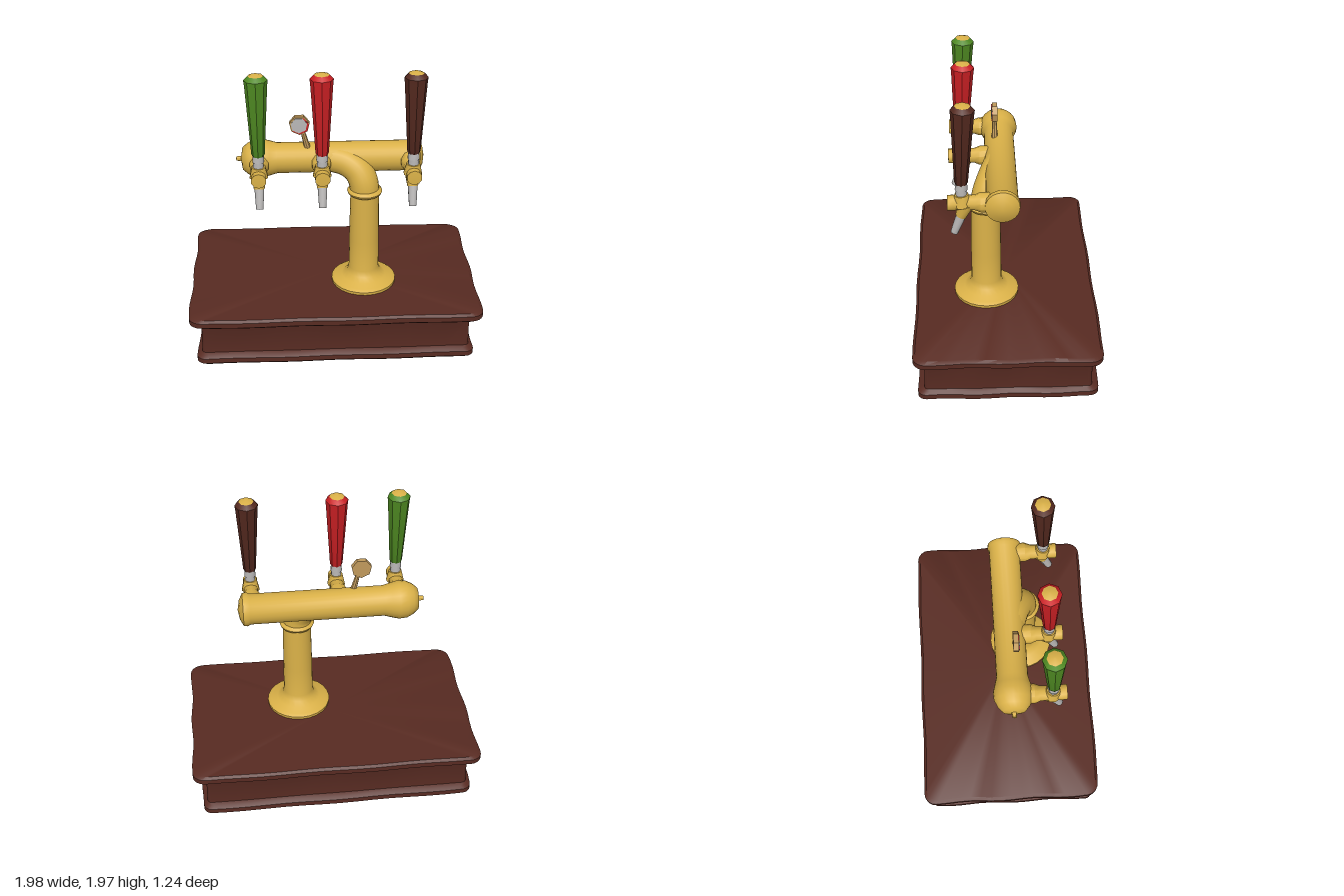
import * as THREE from 'three';
import { toCreasedNormals } from 'three/addons/utils/BufferGeometryUtils.js';

const mat = (name, color) => Object.assign(new THREE.MeshStandardMaterial({ color }), { name });
const V = (x, y, z) => new THREE.Vector3(x, y, z);

export function createModel() {
  const wood = mat('wood', 0x582b22);
  const brass = mat('brass', 0xdab148);
  const steel = mat('steel', 0xb9b7b6);
  const green = mat('green', 0x4f8a22);
  const red = mat('red', 0xcb2024);
  const brown = mat('brown', 0x54291f);
  const tan = mat('tan', 0xc09a5c);
  const model = new THREE.Group();
  model.name = 'beerTap';

  const add = (parent, name, geometry, material, crease = 0.7) => {
    const mesh = new THREE.Mesh(toCreasedNormals(geometry, crease), material);
    mesh.name = name;
    parent.add(mesh);
    return mesh;
  };
  const lathe = (pts, sides = 24) =>
    new THREE.LatheGeometry(pts.map(([r, y]) => new THREE.Vector2(r, y)), sides);

  // Solid rod between two points; r0 at the start, r1 at the end
  const rod = (a, b, r0, r1, sides = 10) => {
    const dir = b.clone().sub(a);
    const g = new THREE.CylinderGeometry(r1, r0, dir.length(), sides);
    g.applyQuaternion(new THREE.Quaternion().setFromUnitVectors(V(0, 1, 0), dir.normalize()));
    const c = a.clone().add(b).multiplyScalar(0.5);
    return g.translate(c.x, c.y, c.z);
  };

  // Worn wooden plinth: rounded rectangles lofted upward, [y, half width, half depth, corner]
  const levels = [
    [0, 0.925, 0.585, 0.06], [0.015, 0.942, 0.6, 0.06], [0.05, 0.942, 0.6, 0.06], [0.066, 0.925, 0.58, 0.06],
    [0.075, 0.907, 0.555, 0.03], [0.27, 0.903, 0.55, 0.03], [0.298, 0.915, 0.565, 0.04],
    [0.3, 0.965, 0.605, 0.08], [0.315, 0.988, 0.622, 0.08], [0.35, 0.988, 0.622, 0.08], [0.365, 0.965, 0.605, 0.08],
  ];
  const perSide = 14, arc = 5;
  const outline = ([y, w, d, r], level) => {
    const pts = [];
    [[1, 1], [-1, 1], [-1, -1], [1, -1]].forEach(([sx, sz], k) => {
      const cx = sx * (w - r), cz = sz * (d - r);
      for (let i = 0; i <= arc; i++) {
        const t = (k + i / arc) * Math.PI / 2;
        pts.push(V(cx + r * Math.cos(t), y, cz + r * Math.sin(t)));
      }
      const a = pts[pts.length - 1];
      const n = [[-1, 1], [-1, -1], [1, -1], [1, 1]][k];
      const t1 = (k + 1) * Math.PI / 2;
      const b = V(n[0] * (w - r) + r * Math.cos(t1), y, n[1] * (d - r) + r * Math.sin(t1));
      for (let i = 1; i < perSide; i++) pts.push(a.clone().lerp(b, i / perSide));
    });
    // Small uneven dents along the edges
    const amount = level > 3 && level < 7 ? 0.002 : 0.006;
    return pts.map(p => {
      const s = 1 - amount * (1 + Math.sin(p.x * 9 + p.z * 13 + (level > 5 ? 2 : 0)));
      return V(p.x * s, p.y, p.z * s);
    });
  };
  const rings = levels.map(outline), N = rings[0].length;
  const pos = [], index = [];
  rings.flat().forEach(p => pos.push(p.x, p.y, p.z));
  const top = (rings.length - 1) * N, cBottom = rings.length * N, cTop = cBottom + 1;
  pos.push(0, 0, 0, 0, 0.365, 0);
  for (let i = 0; i < N; i++) {
    const j = (i + 1) % N;
    for (let l = 0; l < rings.length - 1; l++) {
      const a = l * N + i, b = l * N + j;
      index.push(a, a + N, b, b, a + N, b + N);
    }
    index.push(cBottom, i, j, cTop, top + j, top + i);
  }
  const plinth = new THREE.BufferGeometry();
  plinth.setAttribute('position', new THREE.Float32BufferAttribute(pos, 3));
  plinth.setIndex(index);
  add(model, 'plinth', plinth, wood, 0.6);

  // Column with flange foot and collar
  add(model, 'column', lathe([
    [0, 0.362], [0.22, 0.362], [0.222, 0.385], [0.2, 0.4], [0.15, 0.412], [0.115, 0.44], [0.103, 0.48],
    [0.102, 0.7], [0.096, 1.04], [0.112, 1.05], [0.118, 1.065], [0.108, 1.08], [0.095, 1.085], [0, 1.085],
  ]), brass).position.set(0.21, 0, 0.13);

  // Elbow sweeping from the column into the crossbar
  const bend = new THREE.CatmullRomCurve3([
    V(0.21, 1.06, 0.13), V(0.2, 1.13, 0.125), V(0.165, 1.2, 0.1), V(0.09, 1.25, 0.065), V(-0.02, 1.27, 0.03),
  ]);
  add(model, 'elbow', new THREE.TubeGeometry(bend, 20, 0.098, 20), brass, 1);

  // Crossbar with a bulb at one end and a rounded cap at the other
  add(model, 'crossbar', lathe([
    [0, -0.645], [0.014, -0.642], [0.018, -0.61], [0.075, -0.6], [0.105, -0.565], [0.126, -0.52], [0.13, -0.47],
    [0.117, -0.42], [0.103, -0.37], [0.103, 0.53], [0.114, 0.548], [0.11, 0.575], [0.065, 0.598], [0, 0.61],
  ]).rotateZ(-Math.PI / 2), brass, 0.8).position.set(0, 1.27, 0.028);

  // Three taps
  const tap = (name, x, colour) => {
    const g = new THREE.Group();
    g.name = name;
    g.position.x = x;
    // Horizontal faucet body, flared at both ends
    add(g, 'faucetBody', lathe([
      [0, 0.06], [0.064, 0.06], [0.064, 0.165], [0.05, 0.2], [0.046, 0.31], [0.05, 0.335], [0.05, 0.375], [0, 0.378],
    ], 10).rotateX(Math.PI / 2), brass).position.y = 1.273;
    add(g, 'handleSocket', rod(V(0, 1.26, 0.28), V(0, 1.335, 0.285), 0.062, 0.045), brass);
    add(g, 'spoutJoint', rod(V(0, 1.27, 0.255), V(0, 1.175, 0.29), 0.055, 0.036), brass);
    add(g, 'spout', rod(V(0, 1.2, 0.28), V(0, 1.05, 0.335), 0.034, 0.025), steel);
    add(g, 'stem', rod(V(0, 1.32, 0.285), V(0, 1.375, 0.285), 0.036, 0.034), steel);
    add(g, 'stemNut', rod(V(0, 1.37, 0.285), V(0, 1.425, 0.283), 0.04, 0.036), steel);
    // Tapered grip leaning slightly back, with a brass tip
    const lean = new THREE.Group();
    lean.name = 'handle';
    lean.position.set(0, 1.41, 0.285);
    lean.rotation.x = -0.035;
    add(lean, 'grip', lathe([[0, 0], [0.036, 0], [0.043, 0.015], [0.072, 0.48], [0.076, 0.515], [0.05, 0.542]], 8), colour);
    add(lean, 'tip', lathe([[0.05, 0.542], [0, 0.56]], 8), brass);
    g.add(lean);
    model.add(g);
  };
  tap('rightTap', -0.49, green);
  tap('middleTap', -0.08, red);
  tap('leftTap', 0.51, brown);

  // Small badge on a stalk
  const badge = new THREE.Group();
  badge.name = 'badge';
  add(badge, 'badgeStalk', rod(V(-0.165, 1.34, 0.06), V(-0.205, 1.5, 0.06), 0.022, 0.013, 8), tan);
  const disc = (name, x, y, z, r, depth, material) =>
    add(badge, name, new THREE.CylinderGeometry(r, r, depth, 7).rotateX(Math.PI / 2), material).position.set(x, y, z);
  disc('badgeBody', -0.22, 1.523, 0.058, 0.068, 0.034, tan);
  disc('badgeRim', -0.217, 1.52, 0.076, 0.06, 0.004, red);
  disc('badgeFace', -0.223, 1.524, 0.079, 0.055, 0.004, steel);
  model.add(badge);

  return model;
}
